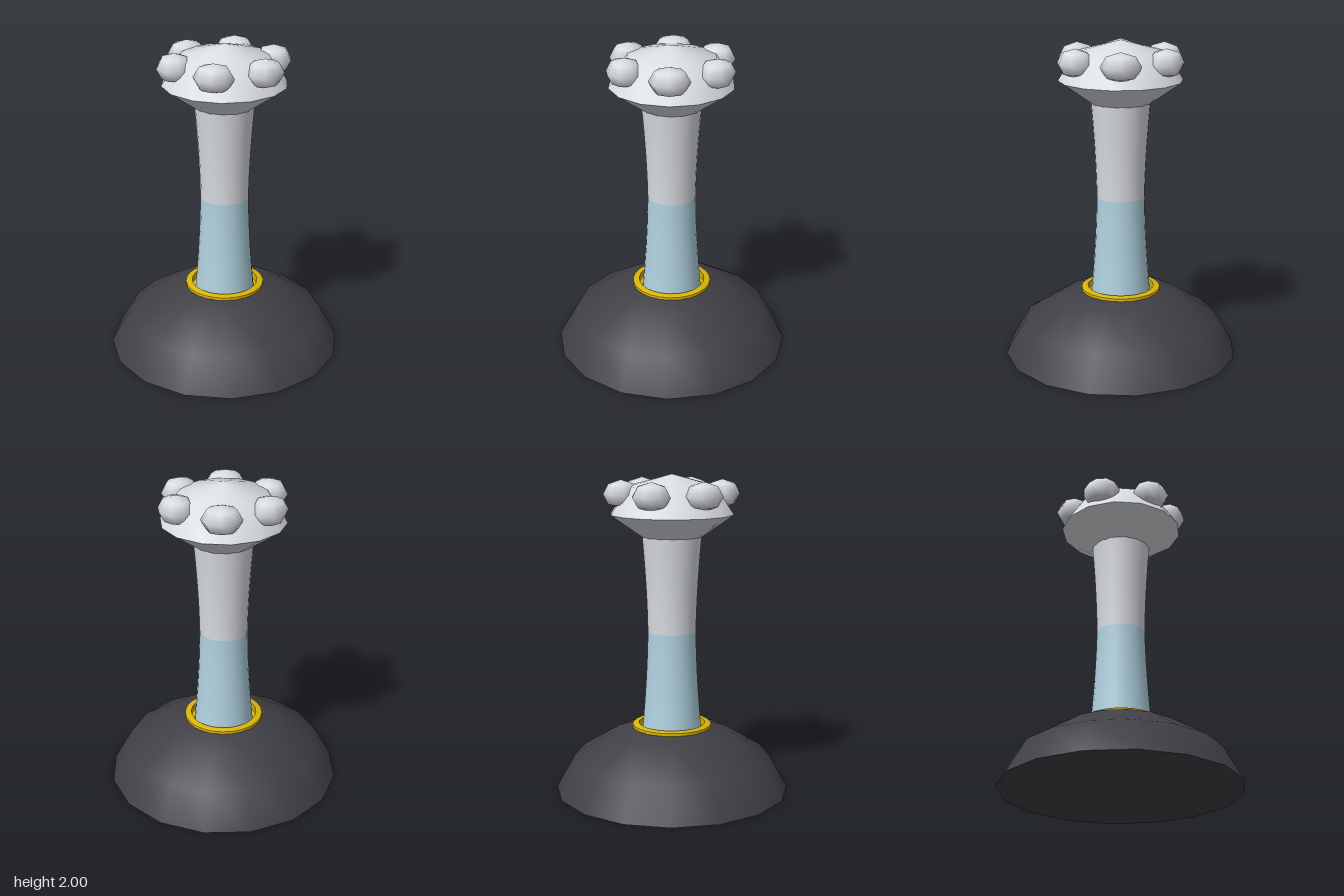
import * as THREE from 'three';
import { toCreasedNormals } from 'three/addons/utils/BufferGeometryUtils.js';

const material = (name, color) => {
  const m = new THREE.MeshStandardMaterial({ color });
  m.name = name;
  return m;
};

export function createModel() {
  const charcoal = material('charcoal', 0x403f45);
  const white = material('soft white', 0xd8dbe0);
  const blue = material('pale blue', 0xb0d2e0);
  const gold = material('gold', 0xdab60a);

  const model = new THREE.Group();
  model.name = 'pedestalTower';

  const add = (name, geometry, mat, parent = model) => {
    const mesh = new THREE.Mesh(geometry, mat);
    mesh.name = name;
    parent.add(mesh);
    return mesh;
  };
  // Profiles run from bottom to top as [radius, height]; a corner lies on the x axis
  const lathe = (points, sides) =>
    new THREE.LatheGeometry(points.map(([r, y]) => new THREE.Vector2(r, y)), sides, Math.PI / 2);

  // Domed base with a flat underside
  add('baseDome', lathe([[0.74, 0], [0.62, 0.215], [0.37, 0.37], [0.235, 0.411]], 16), charcoal);
  add('baseUnderside', lathe([[0, 0], [0.74, 0]], 16), charcoal);

  // Gold collar around a shallow recess
  add('collar', toCreasedNormals(lathe(
    [[0.25, 0.404], [0.25, 0.424], [0.24, 0.43], [0.21, 0.43], [0.21, 0.385], [0.15, 0.385]], 24), 0.6), gold);

  // Waisted column in two colours, narrowest at the colour change
  const waist = 1.02;
  const columnRadius = (y) => 0.152 + 0.033 * Math.pow(Math.abs(y - waist) / 0.6, 1.6);
  const columnPart = (y0, y1) => {
    const points = [];
    for (let i = 0; i <= 8; i++) {
      const y = y0 + (y1 - y0) * i / 8;
      points.push([columnRadius(y), y]);
    }
    return lathe(points, 24);
  };
  add('lowerColumn', columnPart(0.385, waist), blue);
  add('upperColumn', columnPart(waist, 1.62), white);

  // Flared head with a low dome
  const head = new THREE.Group();
  head.name = 'head';
  model.add(head);
  add('headFlare', lathe([[0.18, 1.612], [0.385, 1.755]], 14), white, head);
  add('headDome', lathe([[0.385, 1.755], [0.272, 1.928], [0, 2]], 14), white, head);

  // Ring of six rounded knobs
  for (let i = 0; i < 6; i++) {
    const a = i * Math.PI / 3;
    const knob = add('knob', new THREE.SphereGeometry(1, 8, 4), white, head);
    knob.scale.set(0.11, 0.088, 0.124);
    knob.position.set(0.313 * Math.cos(a), 1.88, 0.313 * Math.sin(a));
    knob.rotation.y = -a;
  }
  return model;
}
